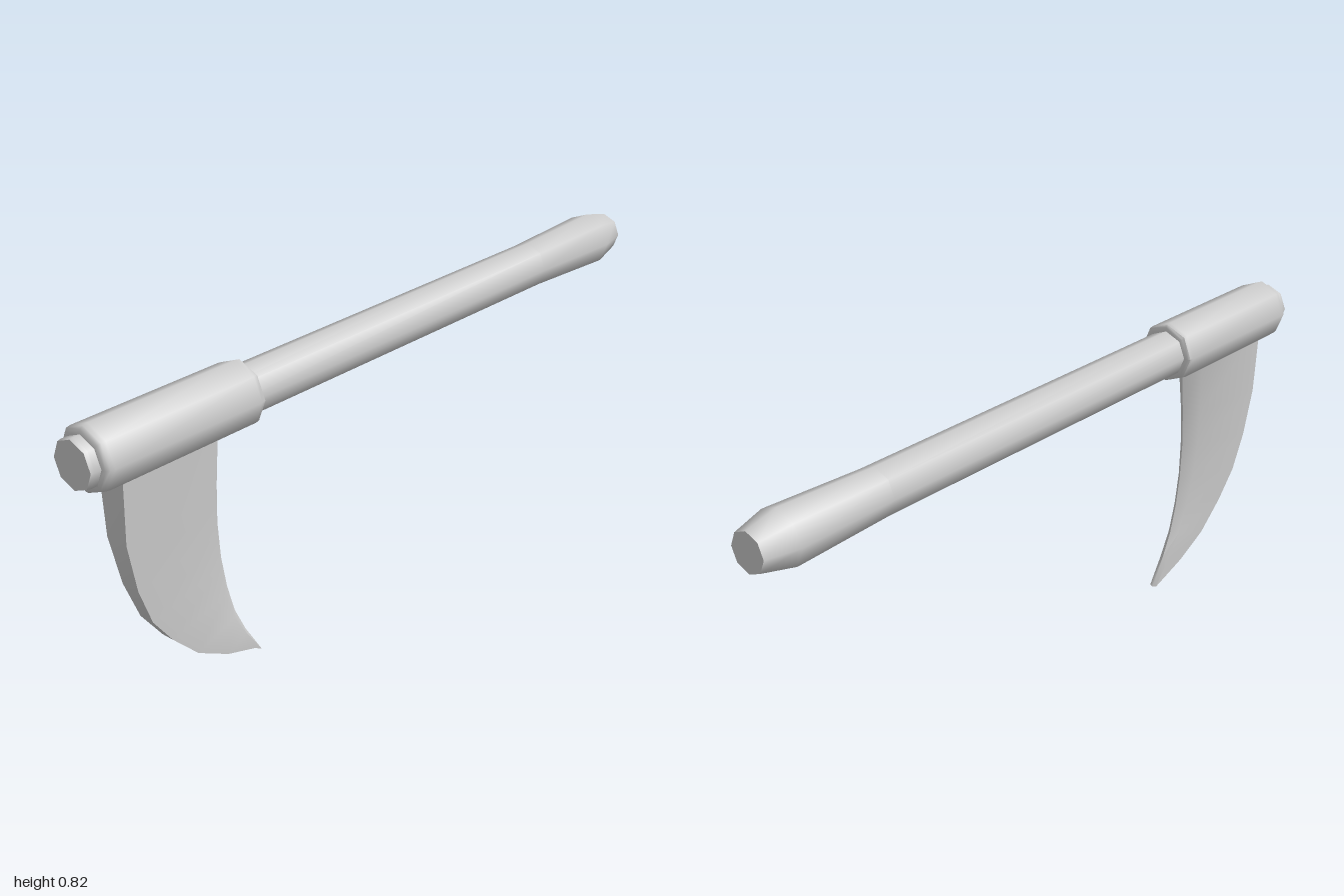
import * as THREE from 'three';
import { toCreasedNormals } from 'three/addons/utils/BufferGeometryUtils.js';

const AXIS_Y = 0.733;
const CREASE = 0.95;

// Eight-sided turned part lying along z; profile points are [radius, z]
function turned(name, profile, material) {
  const points = profile.map(([r, z]) => new THREE.Vector2(r, z));
  const geometry = new THREE.LatheGeometry(points, 8).rotateX(Math.PI / 2);
  const mesh = new THREE.Mesh(toCreasedNormals(geometry, CREASE), material);
  mesh.name = name;
  mesh.position.y = AXIS_Y;
  return mesh;
}

// Curved blade: thick flat spine, flat sides and a bevelled inner edge
function bladeGeometry() {
  // [z, y] of the spine and of the cutting edge, from the collar to the tip
  const spine = [[0.9, 0.7], [0.898, 0.5], [0.87, 0.365], [0.83, 0.26],
    [0.77, 0.18], [0.69, 0.1], [0.59, 0.045], [0.5, 0.016]];
  const edge = [[0.573, 0.7], [0.589, 0.52], [0.593, 0.42], [0.587, 0.32],
    [0.572, 0.23], [0.55, 0.15], [0.517, 0.08], [0.47, 0]];
  const halfWidth = (y) => 0.0105 + 0.045 * y;
  const positions = [];
  const indices = [];
  spine.forEach(([sz, sy], i) => {
    const [ez, ey] = edge[i];
    const t = 0.88; // where the bevel begins
    const mz = sz + (ez - sz) * t;
    const my = sy + (ey - sy) * t;
    const ws = halfWidth(sy);
    const wm = halfWidth(my);
    positions.push(ws, sy, sz, wm, my, mz, 0, ey, ez, -wm, my, mz, -ws, sy, sz);
  });
  const n = 5;
  const last = (spine.length - 1) * n;
  for (let i = 0; i < last; i += n) {
    for (let j = 0; j < n; j++) {
      const a = i + j;
      const b = i + (j + 1) % n;
      indices.push(a, a + n, b, b, a + n, b + n);
    }
  }
  // End caps
  for (let j = 1; j < n - 1; j++) {
    indices.push(0, j, j + 1, last, last + j + 1, last + j);
  }
  const geometry = new THREE.BufferGeometry();
  geometry.setAttribute('position', new THREE.Float32BufferAttribute(positions, 3));
  geometry.setIndex(indices);
  return toCreasedNormals(geometry, CREASE);
}

export function createModel() {
  const model = new THREE.Group();
  model.name = 'sickle';
  const material = new THREE.MeshStandardMaterial({ color: 0xcccccc });

  // Handle with a flared grip at the back
  model.add(turned('handle', [[0, -1], [0.053, -1], [0.075, -0.91], [0.064, -0.62],
    [0.064, 0.99], [0.062, 1], [0, 1]], material));

  // Collar with rounded rims that holds the blade
  model.add(turned('collar', [[0.06, 0.493], [0.075, 0.493], [0.082, 0.498], [0.084, 0.51],
    [0.084, 0.95], [0.082, 0.963], [0.075, 0.971], [0.06, 0.973]], material));

  const blade = new THREE.Mesh(bladeGeometry(), material);
  blade.name = 'blade';
  model.add(blade);

  return model;
}
